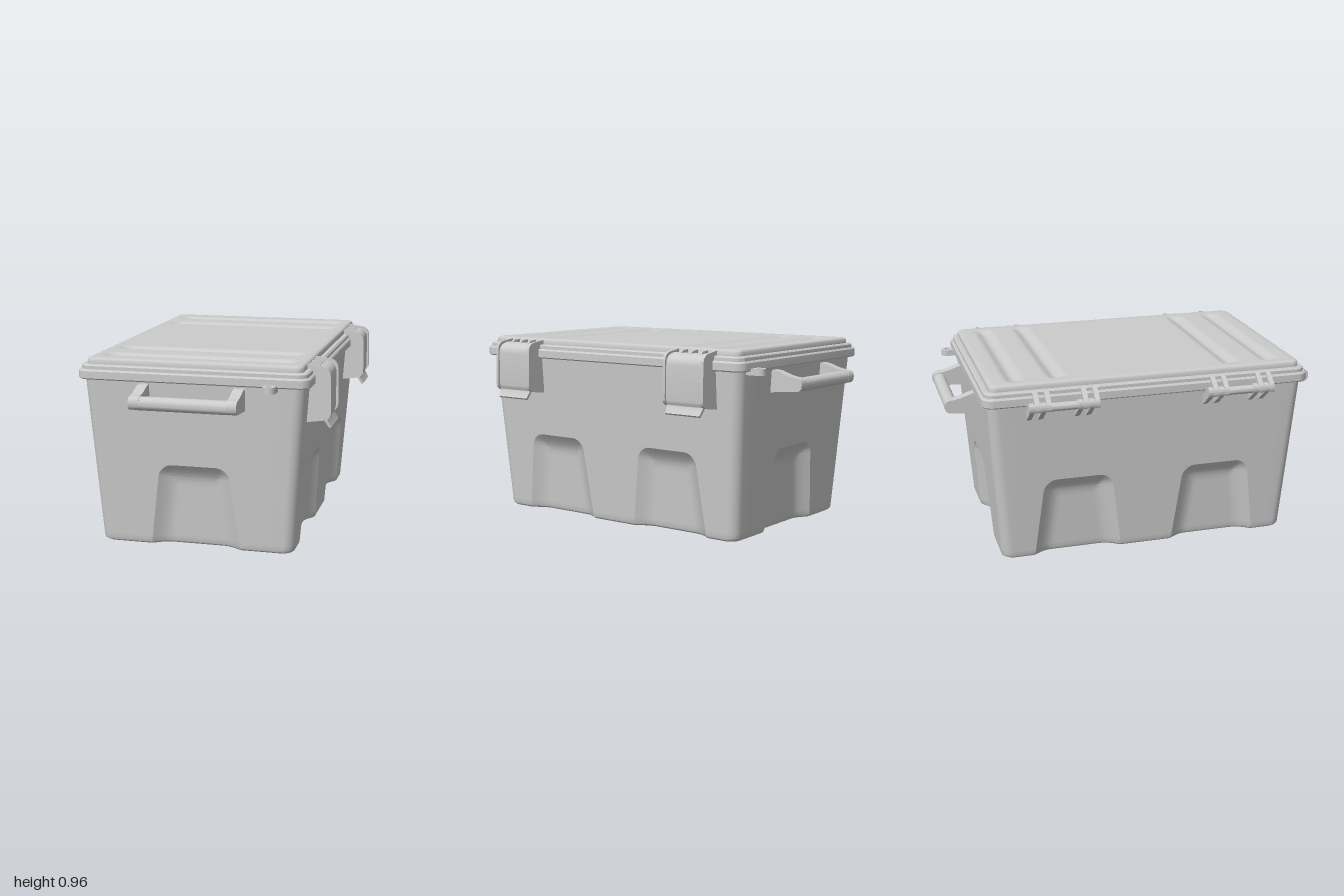
import * as THREE from 'three';
import { toCreasedNormals } from 'three/addons/utils/BufferGeometryUtils.js';

const CX = -0.01; // centre of the box in x (latches and hinges stick out unevenly)
const mat = new THREE.MeshStandardMaterial({ color: 0xcccccc, side: THREE.DoubleSide });

function add(parent, name, geo, crease = 0.4) {
  const mesh = new THREE.Mesh(toCreasedNormals(geo, crease), mat);
  mesh.name = name;
  parent.add(mesh);
  return mesh;
}

// Skin closed rings (ordered bottom to top, counter-clockwise from above)
function loft(rings, capBottom) {
  const n = rings[0].length, pos = rings.flat(2), idx = [];
  for (let i = 0; i < rings.length - 1; i++)
    for (let j = 0; j < n; j++) {
      const k = (j + 1) % n, a = i * n, b = a + n;
      idx.push(a + j, a + k, b + k, a + j, b + k, b + j);
    }
  if (capBottom) {
    const c = pos.length / 3;
    pos.push(0, rings[0][0][1], 0);
    for (let j = 0; j < n; j++) idx.push(c, (j + 1) % n, j);
  }
  const g = new THREE.BufferGeometry();
  g.setAttribute('position', new THREE.Float32BufferAttribute(pos, 3));
  g.setIndex(idx);
  return g;
}

// Rounded rectangle ring; wall(k, L, D) gives [along, distance] samples of wall k
function ring(y, hx, hz, r, wall) {
  const pts = [];
  for (let k = 0; k < 4; k++) {
    const c = [1, 0, -1, 0][k], s = [0, 1, 0, -1][k];
    const L = k % 2 ? hx : hz, D = k % 2 ? hz : hx;
    const put = (u, d) => pts.push([c * d - s * u, y, -s * d - c * u]);
    if (wall) wall(k, L - r, D).forEach(([u, d]) => put(u, d));
    for (let i = 0; i <= 8; i++) {
      const a = i / 8 * Math.PI / 2;
      put(L - r + r * Math.sin(a), D - r + r * Math.cos(a));
    }
  }
  return pts;
}

// Tapered body with shallow scooped recesses; columns follow the recess outlines
function bodyGeometry() {
  const TOP = 0.43, R = 0.065, SOFT = 0.1;
  const long = [-0.37, 0.37], short = [0];
  const ys = [[0, 0.012], [0.008, 0.003], [0.018, 0]];
  for (let i = 1; i <= 14; i++) ys.push([0.018 + i * 0.0244, 0]);
  for (let i = 1; i <= 14; i++) ys.push([TOP - R * Math.pow(1 - i / 14, 1.5), 0]);
  ys.push([0.44, 0], [0.6, 0], [0.87, 0]);
  return loft(ys.map(([y, inset]) => {
    const t = y / 0.87, d2 = TOP - y;
    return ring(y, 0.5 + 0.06 * t - inset, 0.77 + 0.06 * t - inset, 0.055, (k, L, D) => {
      const w = 0.232 - 0.056 * Math.min(y / TOP, 1);
      const q = Math.min(Math.max(R - d2, 0), R);
      const edge = w - R + Math.sqrt(R * R - q * q);
      const depth = u => {
        const d1 = w - Math.abs(u), near = Math.min(d1, d2);
        const dist = near > R ? near : R - Math.hypot(Math.max(R - d1, 0), Math.max(R - d2, 0));
        return Math.sin(Math.min(Math.max(dist / SOFT, 0), 1) * Math.PI / 2) * 0.045;
      };
      const out = [];
      let from = -L;
      for (const c of k % 2 ? short : long) {
        for (let i = 0; i < 4; i++) out.push([from + (c - edge - from) * i / 4, D]);
        for (let i = 0; i <= 32; i++) {
          const u = edge * (i / 16 - 1);
          out.push([c + u, D - depth(u)]);
        }
        from = c + edge;
      }
      for (let i = 1; i < 4; i++) out.push([from + (L - from) * i / 4, D]);
      return out;
    });
  }), true);
}

// Polygon of [x, y, cornerRadius] points with softened corners
function softShape(pts) {
  const s = new THREE.Shape(), n = pts.length;
  pts.forEach(([x, y, r = 0], i) => {
    const p = new THREE.Vector2(x, y);
    const toward = q => p.clone().add(new THREE.Vector2(q[0] - x, q[1] - y).setLength(r));
    const a = toward(pts[(i + n - 1) % n]), b = toward(pts[(i + 1) % n]);
    if (i) s.lineTo(a.x, a.y); else s.moveTo(a.x, a.y);
    if (r) s.quadraticCurveTo(x, y, b.x, b.y);
  });
  s.closePath();
  return s;
}

// Side profile in x-y made into a slab between z0 and z1
const slab = (shape, z0, z1) => new THREE.ExtrudeGeometry(shape,
  { depth: z1 - z0, bevelEnabled: false, curveSegments: 8 }).translate(0, 0, z0);

function makeLid() {
  const lid = new THREE.Group();
  lid.name = 'lid';
  lid.position.x = CX;
  // Overhanging rim, step and raised panel as [height, inset]
  const steps = [[0.855, 0.04], [0.855, 0.006], [0.861, 0], [0.897, 0], [0.905, 0.007], [0.905, 0.014],
    [0.921, 0.014], [0.928, 0.021], [0.928, 0.04], [0.946, 0.04], [0.954, 0.044], [0.958, 0.053], [0.958, 0.08]];
  add(lid, 'lidRim', loft(steps.map(([y, i]) =>
    ring(y, 0.587 - i, 0.855 - i, i === 0.08 ? 0.0005 : 0.06 - i * 0.5))), 0.7);
  // Top panel with four cross grooves that narrow to points at their ends
  const top = new THREE.PlaneGeometry(1.014, 1.55, 50, 155).rotateX(-Math.PI / 2);
  const p = top.attributes.position;
  for (let i = 0; i < p.count; i++) {
    const x = Math.abs(p.getX(i)), z = Math.abs(p.getZ(i));
    const end = Math.min(Math.max((0.49 - x) / 0.04, 0), 1);
    const d = Math.min(Math.abs(z - 0.675), Math.abs(z - 0.46));
    const cut = Math.pow(Math.cos(Math.min(d / 0.056, 1) * Math.PI / 2), 2);
    p.setY(i, 0.958 - 0.019 * cut * end);
  }
  add(lid, 'lidPanel', top, 0.7);
  return lid;
}

function makeHandle() {
  const handle = new THREE.Group();
  handle.name = 'handle';
  handle.position.x = CX;
  const arm = softShape([[0.81, 0.73], [0.86, 0.735, 0.02], [1.0, 0.745, 0.032], [1.0, 0.808, 0.03],
    [0.93, 0.815, 0.03], [0.86, 0.84, 0.01], [0.81, 0.845]]);
  for (const x of [-0.267, 0.215])
    add(handle, 'handleArm', slab(arm, -x - 0.052, -x).rotateY(-Math.PI / 2));
  const bar = add(handle, 'handleBar', new THREE.CylinderGeometry(0.034, 0.034, 0.45, 24).rotateZ(Math.PI / 2));
  bar.position.set(0, 0.775, 0.965);
  return handle;
}

// Flat eyelet for a padlock
function makeEyelet(x, side) {
  const s = new THREE.Shape();
  s.moveTo(-0.032, -0.06).lineTo(0.032, -0.06).lineTo(0.032, 0.035);
  s.absarc(0, 0.035, 0.032, 0, Math.PI, false).closePath();
  s.holes.push(new THREE.Path().absarc(0, 0.035, 0.014, 0, Math.PI * 2, true));
  const eye = add(new THREE.Group(), 'padlockEyelet', slab(s, 0, 0.033).rotateX(Math.PI / 2));
  eye.position.set(x, 0.87, side * 0.85);
  if (side < 0) eye.rotation.y = Math.PI;
  return eye;
}

function makeLatch() {
  const latch = new THREE.Group();
  latch.name = 'latch';
  const cheek = softShape([[0.53, 0.952], [0.65, 0.935, 0.045], [0.655, 0.68, 0.04], [0.53, 0.663]]);
  const plate = softShape([[0.575, 0.925], [0.632, 0.905, 0.04], [0.632, 0.69, 0.02], [0.615, 0.68, 0.01],
    [0.645, 0.634], [0.656, 0.642], [0.632, 0.68, 0.01], [0.642, 0.695, 0.015], [0.642, 0.92, 0.045], [0.575, 0.936]]);
  for (const s of [-1, 1]) add(latch, 'latchCheek', slab(cheek, s * 0.114 - 0.008, s * 0.114 + 0.008));
  // Plate narrows slightly towards the pull lip
  const g = slab(plate, -0.108, 0.108), p = g.attributes.position;
  for (let i = 0; i < p.count; i++) if (p.getY(i) < 0.66) p.setZ(i, p.getZ(i) * 0.95);
  add(latch, 'latchPlate', g);
  const finger = softShape([[0.52, 0.9], [0.59, 0.9], [0.59, 0.945, 0.02], [0.52, 0.952]]);
  for (const z of [-0.06, 0, 0.06]) add(latch, 'latchFinger', slab(finger, z - 0.008, z + 0.008));
  const pin = add(latch, 'latchPin', new THREE.CylinderGeometry(0.011, 0.011, 0.22, 16).rotateX(Math.PI / 2));
  pin.position.set(0.573, 0.925, 0);
  return latch;
}

function makeHinge() {
  const hinge = new THREE.Group();
  hinge.name = 'hinge';
  // Arms run from the lid edge and from the body wall to the knuckle
  const upper = softShape([[-0.55, 0.925], [-0.585, 0.925, 0.01], [-0.655, 0.872, 0.015], [-0.655, 0.835, 0.015],
    [-0.615, 0.832, 0.015], [-0.595, 0.88, 0.01], [-0.55, 0.895]]);
  const lower = softShape([[-0.55, 0.82], [-0.585, 0.83, 0.01], [-0.61, 0.88, 0.015], [-0.655, 0.88, 0.02],
    [-0.657, 0.84, 0.02], [-0.565, 0.772, 0.005], [-0.55, 0.772]]);
  // Two clusters of alternating lid and body lugs
  for (const c of [-0.122, 0.122])
    for (let i = 0; i < 4; i++) {
      const z = c + (i - 1.5) * 0.029;
      add(hinge, i % 2 ? 'hingeLidLug' : 'hingeBodyLug', slab(i % 2 ? upper : lower, z - 0.0125, z + 0.0125));
    }
  const pin = add(hinge, 'hingePin', new THREE.CylinderGeometry(0.021, 0.021, 0.35, 20).rotateX(Math.PI / 2));
  pin.position.set(-0.633, 0.855, 0);
  return hinge;
}

export function createModel() {
  const model = new THREE.Group();
  model.name = 'storageBox';
  add(model, 'body', bodyGeometry()).position.x = CX;
  model.add(makeLid());
  for (const s of [1, -1]) {
    const handle = makeHandle(), latch = makeLatch(), hinge = makeHinge();
    if (s < 0) handle.rotation.y = Math.PI;
    latch.position.z = s * 0.57;
    hinge.position.z = s * 0.46;
    model.add(handle, latch, hinge);
  }
  model.add(makeEyelet(0.388, 1), makeEyelet(0.457, -1));
  return model;
}
